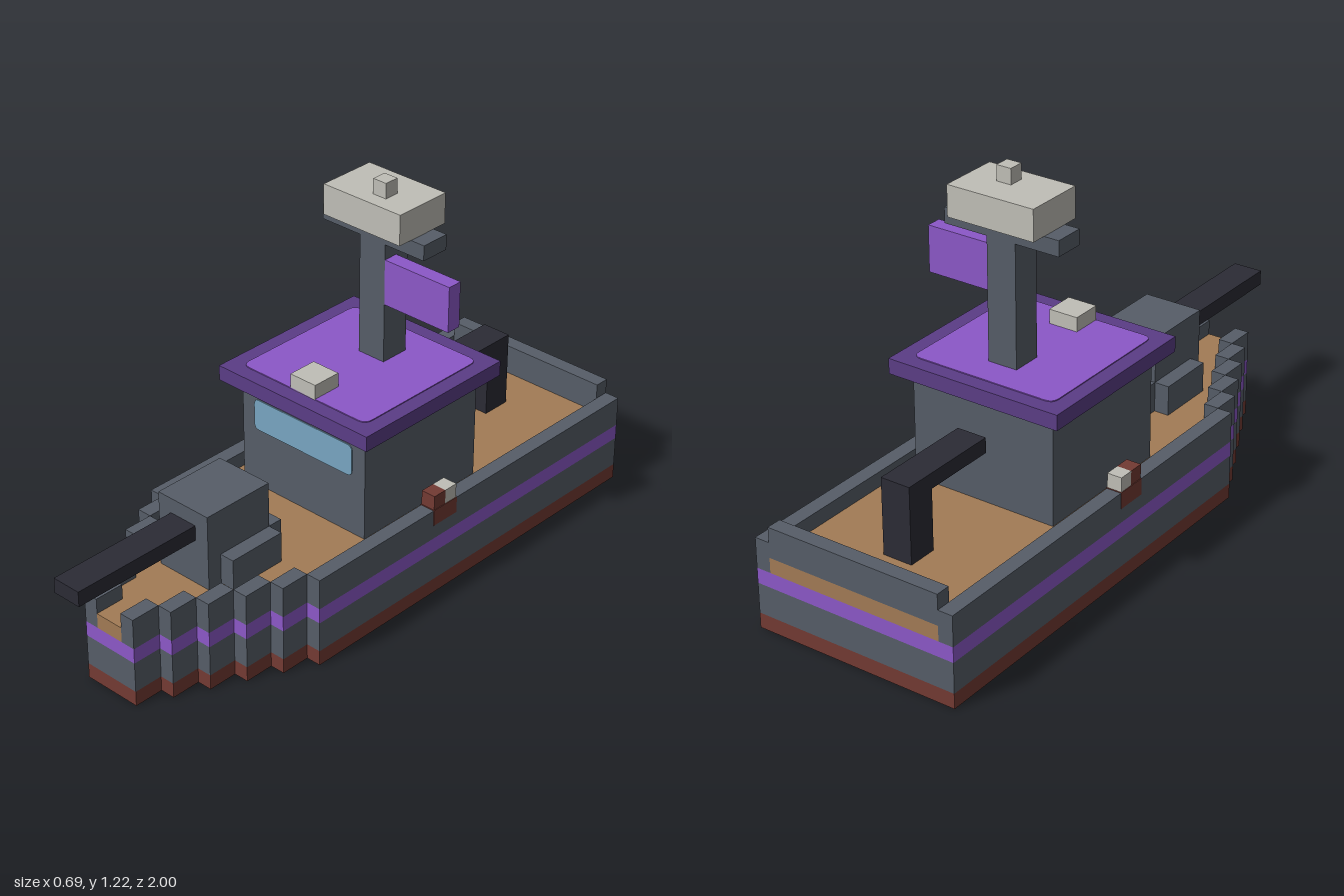
import * as THREE from 'three';

const U = 2 / 41; // one block

const mat = (name, color) => {
  const m = new THREE.MeshStandardMaterial({ color });
  m.name = name;
  return m;
};

export function createModel() {
  const boat = new THREE.Group();
  boat.name = 'patrolBoat';

  const grey = mat('hullGrey', 0x565d68);
  const red = mat('keelRed', 0x733a33);
  const purple = mat('purple', 0x8c58c8);
  const darkPurple = mat('darkPurple', 0x5b3d86);
  const tan = mat('deckTan', 0xa27b55);
  const pale = mat('paleGrey', 0xc0bfb7);
  const black = mat('gunBlack', 0x2b2b35);
  const glass = mat('glassBlue', 0x78a6c2);

  const add = (name, geometry, material) => {
    const mesh = new THREE.Mesh(geometry, material);
    mesh.name = name;
    boat.add(mesh);
    return mesh;
  };
  // box from its limits, in blocks; g swells it slightly
  const box = (name, material, x0, x1, y0, y1, z0, z1, g = 0) => {
    const mesh = add(name, new THREE.BoxGeometry((x1 - x0) * U + g, (y1 - y0) * U + g, (z1 - z0) * U + g), material);
    mesh.position.set((x0 + x1) / 2 * U, (y0 + y1) / 2 * U, (z0 + z1) / 2 * U);
    return mesh;
  };

  // stepped hull plan: half width, back z, front z
  const steps = [[7, -20.5, 7.5]];
  for (let i = 0; i < 5; i++) steps.push([6 - i, 7.5 + 2 * i, 9.5 + 2 * i]);

  // horizontal slab following the stepped plan
  const slab = (name, material, inset, y0, y1) => {
    const right = steps.flatMap(([w, z0, z1]) => [[w - inset, z0], [w - inset, z1]]);
    const left = right.map(([x, z]) => [-x, z]).reverse();
    const shape = new THREE.Shape([...right, ...left].map(([x, z]) => new THREE.Vector2(x * U, -z * U)));
    const geo = new THREE.ExtrudeGeometry(shape, { depth: (y1 - y0) * U, bevelEnabled: false });
    geo.rotateX(-Math.PI / 2).translate(0, y0 * U, 0);
    add(name, geo, material);
  };
  slab('keel', red, 0, 0, 1);
  slab('lowerHull', grey, 0, 1, 3);
  slab('hullStripe', purple, 0, 3, 4);
  slab('deck', tan, 1, 4, 5);

  // bulwarks and side lamps
  for (const s of [-1, 1]) {
    const side = (name, m, a, b, ...rest) => box(name, m, Math.min(s * a, s * b), Math.max(s * a, s * b), ...rest);
    for (const [w, z0, z1] of steps) side('bulwark', grey, w - 1, w, 4, 6, z0, z1);
    side('lampMount', red, 6, 7, 5, 6, -4.5, -2.5, 0.004);
    side('lampBack', red, 6, 7, 6, 7, -3.5, -2.5);
    side('lamp', pale, 6, 7, 6, 7, -4.5, -3.5);
    side('frontGunSide', grey, 2, 3, 5, 7, 6.5, 10.5);
  }
  box('sternRail', grey, -6, 6, 5, 7, -20.5, -19.5);

  // front gun
  box('frontTurret', grey, -2, 2, 5, 10, 6.5, 11.5);
  box('frontTurretBack', grey, -2, 2, 5, 7, 5.5, 6.5);
  box('frontBarrel', black, -1, 1, 8, 9, 11.5, 20.5);

  // rear gun
  box('rearGunPost', black, -1, 1, 5, 9, -16.5, -14.5);
  box('rearBarrel', black, -1, 1, 9, 10, -16.5, -9.5);

  // cabin and roof
  box('cabin', grey, -5, 5, 5, 12, -8.5, 1.5);
  box('roof', darkPurple, -6, 6, 12, 13, -9.5, 2.5);

  // thin rounded plate, centred on its own origin
  const plate = (w, h, r) => {
    const x = w / 2 * U, y = h / 2 * U, c = r * U;
    const s = new THREE.Shape();
    s.moveTo(-x + c, -y).lineTo(x - c, -y).quadraticCurveTo(x, -y, x, -y + c);
    s.lineTo(x, y - c).quadraticCurveTo(x, y, x - c, y);
    s.lineTo(-x + c, y).quadraticCurveTo(-x, y, -x, y - c);
    s.lineTo(-x, -y + c).quadraticCurveTo(-x, -y, -x + c, -y);
    return new THREE.ExtrudeGeometry(s, { depth: 0.003, bevelEnabled: false, curveSegments: 4 });
  };
  add('windscreen', plate(8, 2.1, 0.4).translate(0, 10.05 * U, 1.5 * U), glass);
  add('roofPanel', plate(10, 10, 0.6).rotateX(-Math.PI / 2).translate(0, 13 * U, -3.5 * U), purple);
  box('roofLight', pale, -1, 1, 13, 14, -0.5, 1.5);

  // mast, flag and radar
  box('mast', grey, -1, 1, 13, 21, -6.5, -4.5);
  box('crossbar', grey, -4, 4, 21, 22, -6.5, -4.5);
  box('flag', purple, 1, 6, 17, 20, -5.5, -4.5);
  box('radar', pale, -3, 3, 22, 24, -7.5, -3.5);
  box('radarTip', pale, 0, 1, 24, 25, -5.5, -4.5);

  return boat;
}
